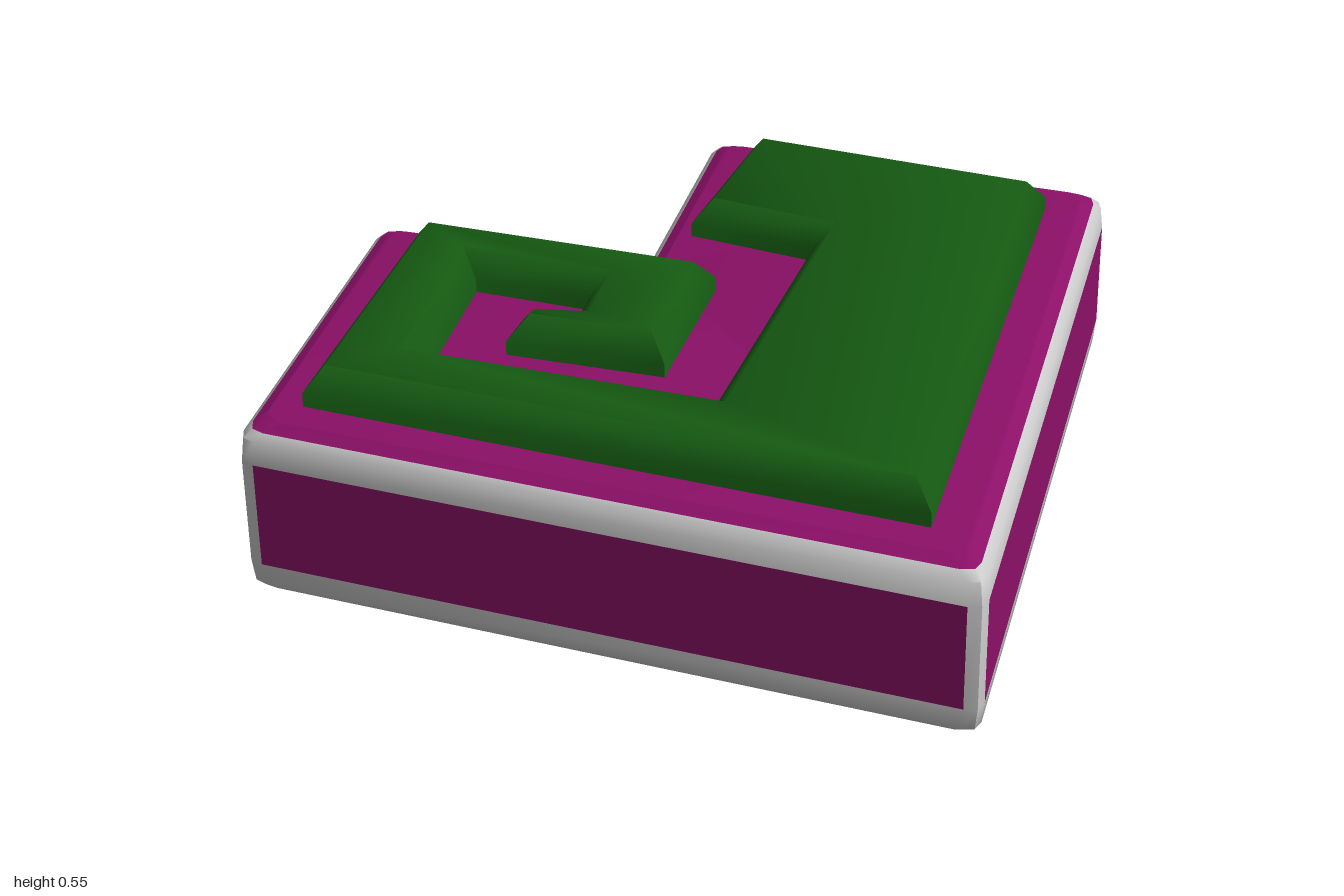
import * as THREE from 'three';
import { toCreasedNormals } from 'three/addons/utils/BufferGeometryUtils.js';

const V = (x, z) => new THREE.Vector2(x, z);

// Heart outline and the spiral inlay, as (x, z) corners
const HEART = [[-1.012, -0.235], [-0.425, -0.885], [0, -0.468], [0.39, -0.893], [1.012, -0.25], [-0.01, 0.888]]
  .map((p) => V(...p));
const SPIRAL = [
  [0.12, -0.49], [0.40, -0.73], [0.84, -0.23], [-0.02, 0.71], [-0.865, -0.24], [-0.40, -0.73],
  [0.055, -0.26], [-0.20, 0], [-0.435, -0.23], [-0.37, -0.29], [-0.28, -0.23], [-0.21, -0.31],
  [-0.38, -0.49], [-0.61, -0.23], [-0.20, 0.20], [0.29, -0.27],
].map((p) => V(...p));

// Move every edge of an outline inwards by d, with mitred corners
function inset(pts, d) {
  const n = pts.length;
  return pts.map((p, i) => {
    const a = p.clone().sub(pts[(i + n - 1) % n]).normalize();
    const b = pts[(i + 1) % n].clone().sub(p).normalize();
    const m = V(-a.y - b.y, a.x + b.x);
    return m.multiplyScalar(d / (1 + a.dot(b))).add(p);
  });
}

// Replace every corner by three points
function softenCorners(pts, r) {
  const n = pts.length;
  return pts.flatMap((p, i) => {
    const a = pts[(i + n - 1) % n].clone().sub(p).setLength(r).add(p);
    const b = pts[(i + 1) % n].clone().sub(p).setLength(r).add(p);
    return [a, a.clone().add(b).multiplyScalar(0.25).addScaledVector(p, 0.5), b];
  });
}

// Faces between stacked rings; pick(level, side) chooses the output list
function loft(rings, heights, pick) {
  const n = rings[0].length;
  const put = (list, ring, i) => list.push(rings[ring][i % n].x, heights[ring], rings[ring][i % n].y);
  for (let k = 0; k < rings.length - 1; k++) {
    for (let i = 0; i < n; i++) {
      const out = pick(k, i);
      [[k, i], [k + 1, i], [k, i + 1], [k, i + 1], [k + 1, i], [k + 1, i + 1]]
        .forEach(([r, j]) => put(out, r, j));
    }
  }
}

// Flat cap facing up or down
function cap(ring, y, up, out) {
  for (const f of THREE.ShapeUtils.triangulateShape(ring, [])) {
    const tri = f.map((i) => ring[i]);
    if ((THREE.ShapeUtils.area(tri) > 0) === up) tri.reverse();
    tri.forEach((p) => out.push(p.x, y, p.y));
  }
}

function makeMesh(name, positions, color, crease) {
  const geo = new THREE.BufferGeometry();
  geo.setAttribute('position', new THREE.Float32BufferAttribute(positions, 3));
  const mesh = new THREE.Mesh(toCreasedNormals(geo, crease), new THREE.MeshStandardMaterial({ color }));
  mesh.name = name;
  return mesh;
}

export function createModel() {
  const group = new THREE.Group();
  group.name = 'heartBlock';

  // Heart body: coloured faces, pale bevelled edges and corners
  const faces = [], edges = [];
  const profile = [[0.045, 0.08], [0.02, 0.095], [0.005, 0.11], [0, 0.16],
    [0, 0.39], [0.005, 0.44], [0.02, 0.455], [0.045, 0.47]];
  const rings = profile.map(([d]) => softenCorners(inset(HEART, d), 0.035));
  const last = profile.length - 1;
  loft(rings, profile.map((p) => p[1]), (level, side) => {
    const flat = (level === 3 && side % 3 === 2) || level === 0 || level === last - 1;
    return flat ? faces : edges;
  });
  cap(rings[0], profile[0][1], false, faces);
  cap(rings[last], profile[last][1], true, faces);
  group.add(makeMesh('heartFaces', faces, 0x8c1068, 0.5));
  group.add(makeMesh('heartEdges', edges, 0xcccccc, 0.9));

  // Spiral inlay running right through, raised on both sides with a chamfered rim
  const spiral = [];
  const steps = [[0.038, 0], [0, 0.05], [0, 0.5], [0.038, 0.55]];
  const loops = steps.map(([d]) => inset(SPIRAL, d));
  loft(loops, steps.map((s) => s[1]), () => spiral);
  cap(loops[0], 0, false, spiral);
  cap(loops[3], 0.55, true, spiral);
  group.add(makeMesh('spiralInlay', spiral, 0x155a12, 1.0));

  return group;
}
